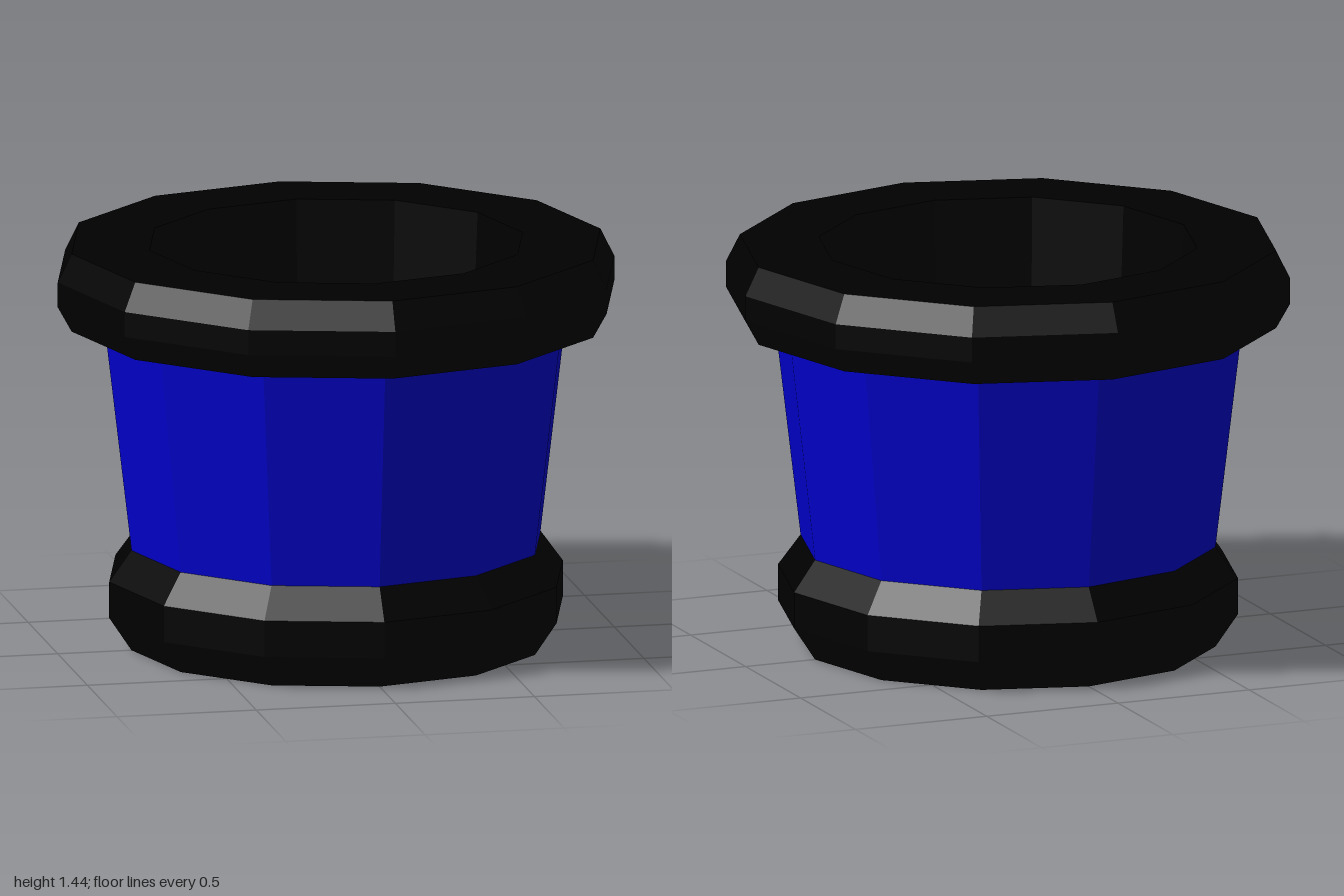
import * as THREE from 'three';

const SIDES = 12;
const black = new THREE.MeshStandardMaterial({ color: 0x000000, flatShading: true });
const blue = new THREE.MeshStandardMaterial({ color: 0x0000cc, flatShading: true });

// Twelve-sided turned part from [radius, height] points, outside running upwards
function turned(name, profile, material) {
  const points = profile.map(([r, y]) => new THREE.Vector2(r, y));
  const mesh = new THREE.Mesh(new THREE.LatheGeometry(points, SIDES), material);
  mesh.name = name;
  return mesh;
}

export function createModel() {
  const group = new THREE.Group();
  group.name = 'pot';

  // Chamfered foot with a closed underside
  group.add(turned('base', [
    [0, 0], [0.735, 0], [0.815, 0.12], [0.815, 0.25], [0.735, 0.36],
  ], black));

  // Tapered body
  group.add(turned('body', [[0.735, 0.36], [0.83, 1.16]], blue));

  // Chamfered rim
  group.add(turned('rim', [
    [0.83, 1.16], [0.95, 1.16], [1, 1.25], [1, 1.34], [0.95, 1.44], [0.67, 1.44],
  ], black));

  // Tapered hollow and its floor
  group.add(turned('innerWall', [[0.67, 1.44], [0.62, 0.36], [0, 0.36]], black));

  return group;
}
